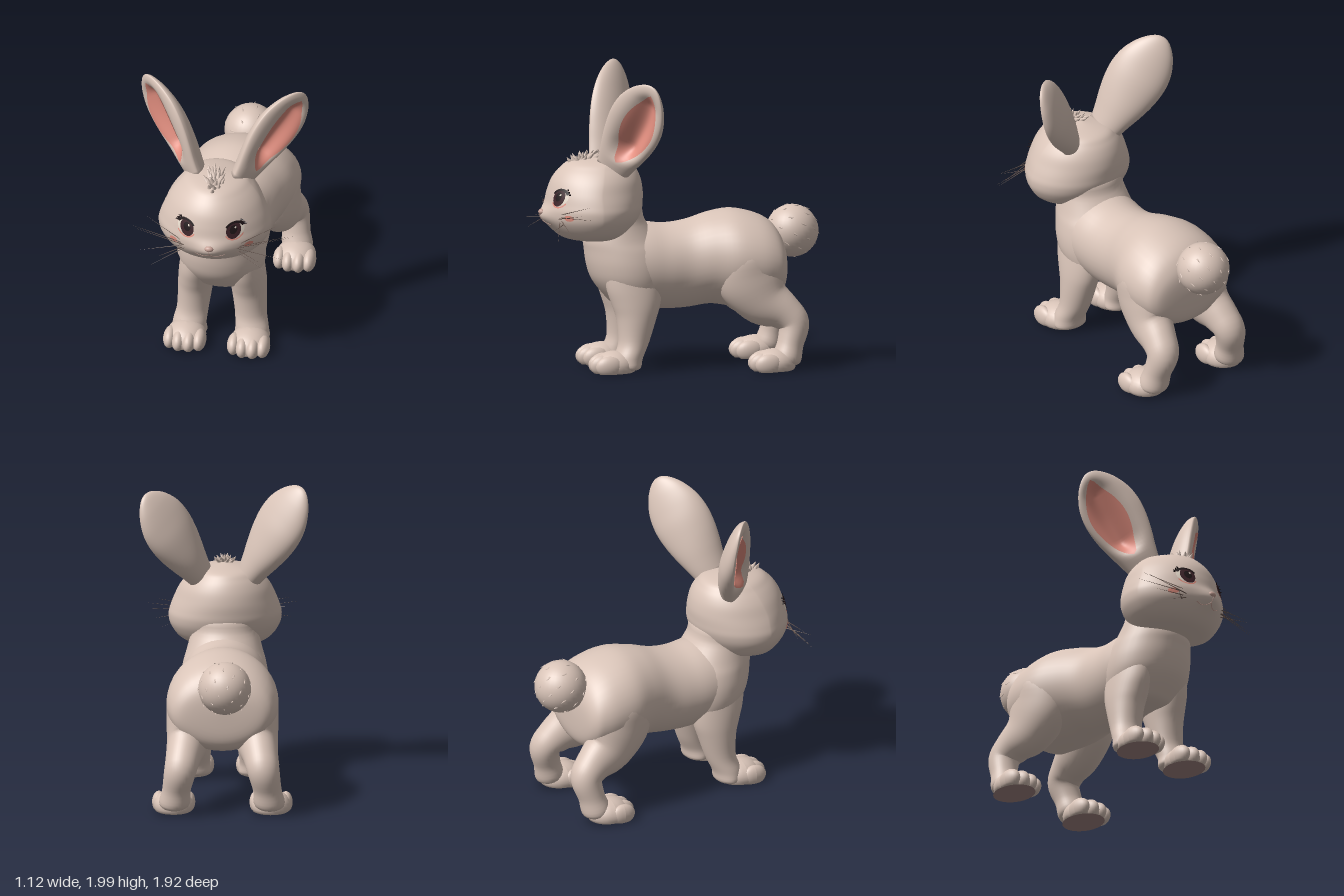
import * as THREE from 'three';
import { mergeVertices } from 'three/addons/utils/BufferGeometryUtils.js';

const mat = (name, color, side = THREE.FrontSide) => {
  const m = new THREE.MeshStandardMaterial({ color, side });
  m.name = name;
  return m;
};
const { sin, cos, PI, exp, sqrt, max, min, abs } = Math;
const smooth = THREE.MathUtils.smoothstep;

// Smooth interpolation through rows of numbers, t from 0 to 1
function at(rows, t) {
  const n = rows.length - 1, f = min(max(t, 0), 1) * n, i = min(Math.floor(f), n - 1), k = f - i;
  const r = j => rows[min(max(j, 0), n)];
  return rows[0].map((_, c) => {
    const [a, b, d, e] = [r(i - 1)[c], r(i)[c], r(i + 1)[c], r(i + 2)[c]];
    return b + 0.5 * k * (d - a + k * (2 * a - 5 * b + 4 * d - e + k * (3 * (b - d) + e - a)));
  });
}

// Surface from a function of (t, a); closed skins are turned to face outward
function skin(fn, rows = 40, cols = 40) {
  const pos = [], idx = [];
  for (let i = 0; i <= rows; i++)
    for (let j = 0; j <= cols; j++) pos.push(...fn(i / rows, j / cols));
  for (let i = 0; i < rows; i++)
    for (let j = 0; j < cols; j++) {
      const p = i * (cols + 1) + j, q = p + cols + 1;
      idx.push(p, q, p + 1, p + 1, q, q + 1);
    }
  const v = k => new THREE.Vector3(...pos.slice(k * 3, k * 3 + 3));
  let volume = 0;
  for (let k = 0; k < idx.length; k += 3) volume += v(idx[k]).dot(v(idx[k + 1]).cross(v(idx[k + 2])));
  if (volume < 0) idx.reverse();
  let g = new THREE.BufferGeometry();
  g.setAttribute('position', new THREE.Float32BufferAttribute(pos, 3));
  g.setIndex(idx);
  g = mergeVertices(g, 1e-5);
  g.computeVertexNormals();
  return g;
}

// Stack of horizontal slices: rows of [y, centre x, half width, back z, front z]
const stackY = (rows, side = 1) => skin((t, a) => {
  const [y, cx, rx, zb, zf] = at(rows, t), q = a * 2 * PI;
  return [side * (cx + rx * cos(q)), y, (zb + zf) / 2 + (zf - zb) / 2 * sin(q)];
});
// Slices along the body: rows of [z, half width, bottom y, top y]
const stackZ = rows => skin((t, a) => {
  const [z, rx, yb, yt] = at(rows, t), q = a * 2 * PI;
  return [rx * cos(q), (yb + yt) / 2 + (yt - yb) / 2 * sin(q), z];
}, 56);
// Bent limb: rows of [x, y, z, half width, half depth]
const limb = (rows, side) => skin((t, a) => {
  const [x, y, z, rx, r] = at(rows, t), b = at(rows, t - 0.03), e = at(rows, t + 0.03);
  const dy = e[1] - b[1], dz = e[2] - b[2], l = Math.hypot(dy, dz), q = a * 2 * PI;
  return [side * (x + rx * cos(q)), y + r * sin(q) * dz / l, z - r * sin(q) * dy / l];
});

// Head slices: [y, half width, back z, front z, middle z]
const HEAD = [[0.865, 0, 0.6, 0.6, 0.6], [0.88, 0.2, 0.42, 0.75, 0.6], [0.92, 0.3, 0.35, 0.83, 0.6],
  [1.0, 0.36, 0.29, 0.895, 0.6], [1.07, 0.375, 0.26, 0.91, 0.6], [1.13, 0.362, 0.252, 0.9, 0.6],
  [1.2, 0.335, 0.25, 0.885, 0.6], [1.28, 0.297, 0.265, 0.855, 0.58], [1.35, 0.24, 0.3, 0.8, 0.56],
  [1.4, 0.17, 0.36, 0.72, 0.54], [1.43, 0, 0.53, 0.53, 0.53]];
const muzzle = (x, y) => 0.035 * exp(-((x / 0.1) ** 2) - ((y - 1.04) / 0.055) ** 2);
function headZ(x, y) {
  let lo = 0, hi = 1;
  for (let i = 0; i < 24; i++) { const m = (lo + hi) / 2; if (at(HEAD, m)[0] < y) lo = m; else hi = m; }
  const [, rx, , zf, zc] = at(HEAD, lo), s = sqrt(max(0, 1 - (x / rx) ** 2));
  return zc + (zf - zc) * s ** 1.3 + muzzle(x, y);
}

export function createModel() {
  const fur = mat('fur', 0xd9c4b8), pink = mat('ear pink', 0xe38f80, THREE.DoubleSide);
  const sole = mat('sole brown', 0xa28582), iris = mat('eye maroon', 0x3b2127), lash = mat('lash black', 0x1f1517);
  const hair = mat('whisker brown', 0x6a5850), nose = mat('nose rose', 0xc6a196), cream = mat('eye cream', 0xe6dacb);
  const model = new THREE.Group();
  model.name = 'rabbit';
  const group = (name, parent = model) => { const g = new THREE.Group(); g.name = name; parent.add(g); return g; };
  const add = (parent, name, geo, m) => { const o = new THREE.Mesh(geo, m); o.name = name; parent.add(o); return o; };
  const spike = (parent, name, from, to, r, m) => {
    const a = new THREE.Vector3(...from), d = new THREE.Vector3(...to).sub(a);
    const o = add(parent, name, new THREE.ConeGeometry(r, d.length(), 6), m);
    o.position.copy(a).addScaledVector(d, 0.5);
    o.quaternion.setFromUnitVectors(new THREE.Vector3(0, 1, 0), d.normalize());
  };

  // Torso, chest and neck
  add(model, 'torso', stackZ([[-0.7, 0, 0.7, 0.7], [-0.69, 0.22, 0.54, 0.82], [-0.66, 0.31, 0.46, 0.9],
    [-0.6, 0.35, 0.42, 0.97], [-0.5, 0.37, 0.4, 1.02], [-0.35, 0.36, 0.4, 1.05], [-0.2, 0.305, 0.42, 1.03],
    [-0.05, 0.268, 0.4, 0.985], [0.1, 0.272, 0.395, 0.965], [0.25, 0.28, 0.41, 0.98], [0.4, 0.262, 0.45, 0.98],
    [0.5, 0.2, 0.52, 0.92], [0.56, 0, 0.72, 0.72]]), fur);
  add(model, 'chest', stackY([[0.41, 0, 0, 0.28, 0.28], [0.44, 0, 0.19, 0.13, 0.44], [0.5, 0, 0.25, 0.08, 0.51],
    [0.6, 0, 0.285, 0.06, 0.585], [0.7, 0, 0.29, 0.06, 0.62], [0.8, 0, 0.274, 0.09, 0.635], [0.88, 0, 0.25, 0.15, 0.64],
    [1.0, 0, 0.22, 0.235, 0.6], [1.1, 0, 0.2, 0.27, 0.55], [1.14, 0, 0, 0.42, 0.42]]), fur);

  // Paw with four toes, flattened on the ground
  const paw = (parent, x, z) => {
    const blob = (name, px, py, pz, rx, ry, rz) => {
      const g = new THREE.SphereGeometry(1, 24, 16).scale(rx, ry, rz).translate(px, py, pz), p = g.attributes.position;
      for (let i = 0; i < p.count; i++) p.setY(i, max(p.getY(i), 0.006));
      g.computeVertexNormals();
      add(parent, name, g, fur);
    };
    blob('instep', x, 0.05, z, 0.132, 0.1, 0.145);
    [-0.098, -0.035, 0.035, 0.098].forEach(o =>
      blob('toe', x + o, 0.055, z + (abs(o) > 0.05 ? 0.055 : 0.08), 0.045, 0.07, 0.09));
    const s = add(parent, 'sole', new THREE.CircleGeometry(1, 28).rotateX(PI / 2).scale(0.125, 1, 0.155), sole);
    s.position.set(x, 0.003, z);
  };

  for (const s of [1, -1]) {
    // Front leg, its shoulder sinking into the chest
    const front = group('frontLeg');
    add(front, 'foreleg', stackY([[0.02, 0.21, 0, 0.38, 0.38], [0.03, 0.21, 0.11, 0.305, 0.45],
      [0.1, 0.21, 0.112, 0.285, 0.475], [0.2, 0.195, 0.106, 0.24, 0.445], [0.35, 0.183, 0.115, 0.19, 0.455],
      [0.45, 0.174, 0.12, 0.16, 0.485], [0.56, 0.164, 0.118, 0.15, 0.52], [0.68, 0.15, 0.112, 0.16, 0.53],
      [0.8, 0.13, 0.1, 0.2, 0.5], [0.9, 0.1, 0, 0.35, 0.35]], s), fur);
    paw(front, s * 0.215, 0.475);
    // Hind leg, splayed toward the foot
    const hind = group('hindLeg');
    add(hind, 'thighAndHock', limb([[0.17, 0.95, -0.4, 0, 0], [0.18, 0.8, -0.42, 0.17, 0.19], [0.2, 0.62, -0.45, 0.17, 0.24],
      [0.225, 0.47, -0.53, 0.142, 0.185], [0.255, 0.385, -0.655, 0.118, 0.125], [0.275, 0.305, -0.72, 0.108, 0.105],
      [0.3, 0.18, -0.695, 0.095, 0.088], [0.315, 0.07, -0.665, 0.098, 0.09], [0.32, 0.02, -0.655, 0, 0]], s), fur);
    paw(hind, s * 0.322, -0.58);
  }

  // Tail with small tufts of fur lying against it
  const tail = group('tail');
  add(tail, 'tailBall', new THREE.SphereGeometry(0.175, 32, 24), fur);
  tail.position.set(-0.02, 0.885, -0.77);
  for (let i = 0; i < 44; i++) {
    const y = 1 - (i + 0.5) / 22, r = sqrt(1 - y * y), q = i * 2.4;
    const d = new THREE.Vector3(r * cos(q), y, r * sin(q));
    const tip = d.clone().add(new THREE.Vector3(0, -0.1, -0.2)).normalize().multiplyScalar(0.184);
    spike(tail, 'tailTuft', d.multiplyScalar(0.168).toArray(), tip.toArray(), 0.009, fur);
  }

  // Head, turned slightly to its left
  const head = group('head');
  head.rotation.y = 0.07;
  head.position.x = -0.58 * sin(0.07);
  add(head, 'skull', skin((t, a) => {
    const [y, rx, zb, zf, zc] = at(HEAD, t), q = a * 2 * PI, x = rx * cos(q), s = sin(q);
    return [x, y, s > 0 ? zc + (zf - zc) * s ** 1.3 + muzzle(x, y) * s : zc + (zc - zb) * s];
  }, 60, 64), fur);
  const n = add(head, 'nose', new THREE.SphereGeometry(1, 20, 14).scale(0.03, 0.02, 0.02), nose);
  n.position.set(0, 1.065, headZ(0, 1.065) - 0.005);

  // Thin painted patch that follows the face
  const decal = (name, x, y, sx, sy, m, lift, inner = 0, from = 0, arc = 2 * PI) => {
    const g = new THREE.RingGeometry(inner, 1, 28, 5, from, arc).scale(sx, sy, 1).translate(x, y, 0), p = g.attributes.position;
    for (let i = 0; i < p.count; i++) p.setZ(i, headZ(p.getX(i), p.getY(i)) + lift);
    g.computeVertexNormals();
    add(head, name, g, m);
  };
  const line = (name, pts, r, m) => add(head, name, new THREE.TubeGeometry(
    new THREE.CatmullRomCurve3(pts.map(([x, y]) => new THREE.Vector3(x, y, headZ(x, y)))), 16, r, 5), m);
  for (const s of [1, -1]) {
    const x = s * 0.155;
    decal('eyeWhite', x + s * 0.012, 1.175, 0.055, 0.046, cream, 0.003);
    decal('iris', x, 1.175, 0.047, 0.056, iris, 0.006);
    decal('pupil', x, 1.182, 0.024, 0.03, lash, 0.008);
    decal('eyeGlint', x + 0.012, 1.196, 0.006, 0.007, cream, 0.0095);
    decal('upperLid', x + s * 0.008, 1.175, 0.068, 0.062, lash, 0.009, 0.76, 0.15 * PI, 0.7 * PI);
    decal('lowerLid', x + s * 0.006, 1.168, 0.066, 0.06, pink, 0.004, 0.86, 1.15 * PI, 0.7 * PI);
    decal('blush', s * 0.25, 1.048, 0.028, 0.02, pink, 0.004);
    for (let i = 0; i < 3; i++) {
      const lx = x + s * (0.042 + 0.012 * i), ly = 1.23 - 0.015 * i, lz = headZ(lx, ly);
      spike(head, 'eyelash', [lx, ly, lz], [lx + s * 0.024, ly + 0.01, lz + 0.01], 0.007, lash);
    }
    line('mouth', [[0, 1.01], [s * 0.03, 0.992], [s * 0.07, 0.988], [s * 0.1, 1.0]], 0.003, nose);
    [[0.46, 1.15, 0.68], [0.54, 1.07, 0.7], [0.52, 1.1, 0.77], [0.48, 0.97, 0.84], [0.4, 0.9, 0.91], [0.36, 0.98, 0.93]]
      .forEach(([tx, ty, tz], i) => {
        const bx = s * (0.17 + 0.02 * (i % 2)), by = 1.06 - 0.012 * i, bz = headZ(bx, by) - 0.005;
        spike(head, 'whisker', [bx, by, bz], [s * tx, ty, tz + 0.02], 0.0035, hair);
      });
  }
  line('lipCleft', [[0, 1.05], [0, 1.035], [0, 1.01]], 0.003, nose);

  // Tuft of broad locks between the ears
  const tuft = group('headTuft', head);
  for (let i = 0; i < 22; i++) {
    const q = i * 2.4, r = 0.07 * sqrt(i / 22), x = r * cos(q) * 0.7, z = 0.64 + r * sin(q) * 1.4;
    const y = 1.43 - 0.9 * (z - 0.54) ** 2 - 1.2 * x * x - 0.015;
    spike(tuft, 'tuftLock', [x, y, z], [x * 1.7 + 0.01 * sin(i * 5), y + 0.065 - 0.35 * r, z + sin(q) * 0.05 - 0.02], 0.02, fur);
  }

  // Ears: a hollowed leaf with a rounded back, and a pink lining
  const EAR = [[0.1, 0.1], [0.125, 0.115], [0.158, 0.125], [0.185, 0.125], [0.198, 0.118], [0.192, 0.1], [0.165, 0.08], [0.13, 0.06]];
  const ear = (side, base, tip) => {
    const b = new THREE.Vector3(...base), axis = new THREE.Vector3(...tip).sub(b), dir = axis.clone().normalize();
    const wide = new THREE.Vector3(0.66, -0.57, -0.46);
    wide.addScaledVector(dir, -wide.dot(dir)).normalize();
    const out = wide.clone().cross(dir);
    const point = (t, u, s, lift) => {
      const [w0, d0] = at(EAR, t), end = sqrt(max(0, 1 - t ** 8)), w = w0 * end, d = d0 * end;
      const hollow = smooth(t, 0.15, 0.35) * (1 - smooth(t, 0.8, 0.97)) * exp(-(((u - 0.2) / 0.5) ** 2));
      const v = (s < 0 ? d * s : d * s * (0.4 - 0.9 * hollow)) - 0.35 * d * u + lift;
      const p = b.clone().addScaledVector(axis, t).addScaledVector(wide, u * w).addScaledVector(out, v + 0.02);
      return [side * p.x, p.y, p.z];
    };
    const g = group('ear');
    add(g, 'earShell', skin((k, a) => {
      if (k === 0) return [side * b.x, b.y, b.z];
      return point(1 - (1 - k) ** 1.6, cos(a * 2 * PI), sin(a * 2 * PI), 0);
    }, 44, 48), fur);
    add(g, 'earLining', skin((k, a) => {
      const u = 0.23 + (a - 0.5) * 1.22 * sqrt(max(0, sin(PI * k)));
      return point(0.17 + 0.76 * k, u, sqrt(1 - u * u), 0.005);
    }, 30, 20), pink);
  };
  ear(1, [0.14, 1.33, 0.48], [0.52, 1.945, 0.26]);
  ear(-1, [0.14, 1.33, 0.48], [0.51, 1.985, 0.3]);
  return model;
}
